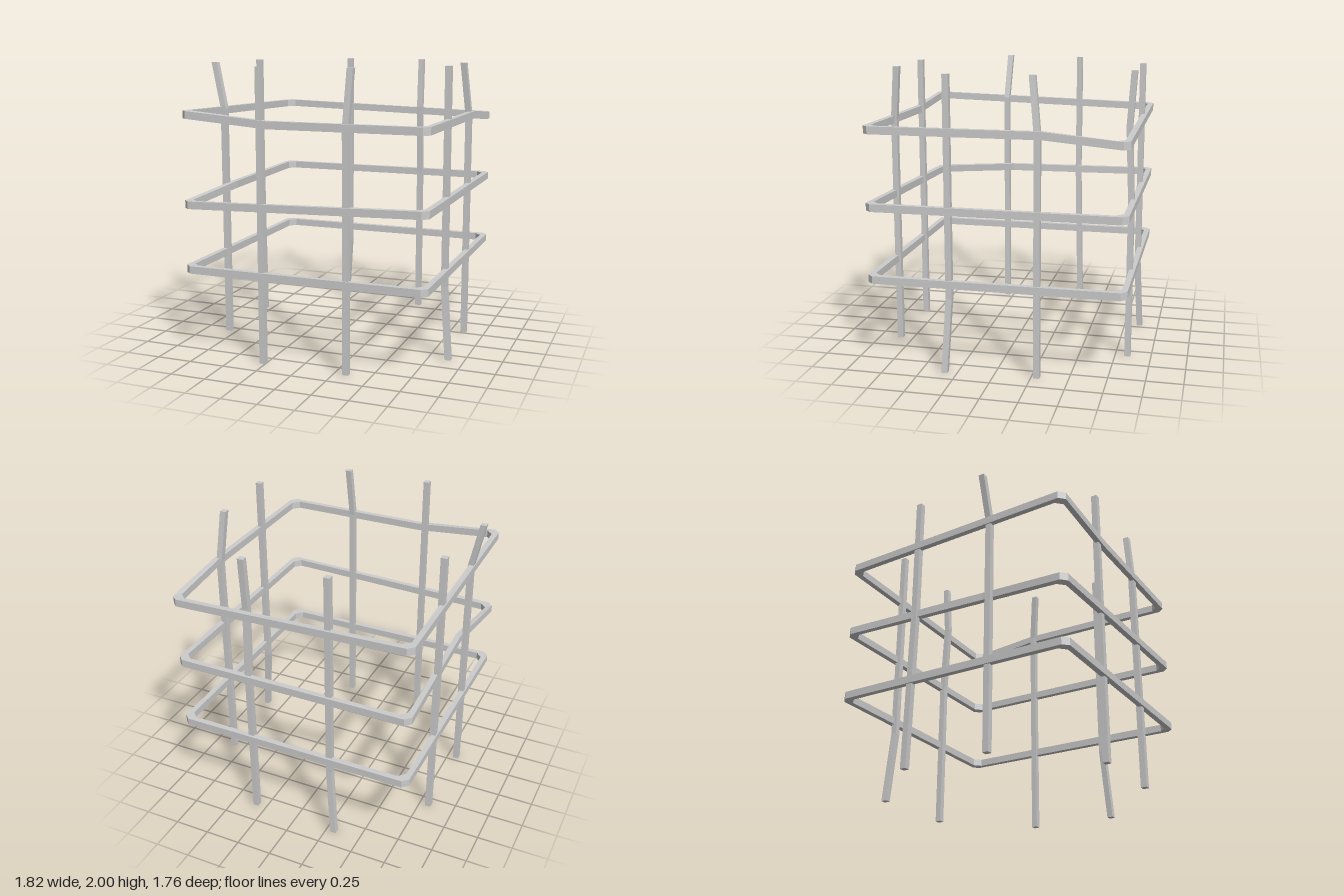
import * as THREE from 'three';

const material = new THREE.MeshStandardMaterial({ color: 0xcccccc, flatShading: true });

// Joins four-cornered sections into a faceted solid, either capped or looped
function loft(sections, closed) {
  const pos = [];
  const quad = (a, b, c, d) => [a, b, c, a, c, d].forEach((p) => pos.push(...p));
  const n = sections.length;
  for (let i = 0; i < (closed ? n : n - 1); i++) {
    const s = sections[i], t = sections[(i + 1) % n];
    for (let k = 0; k < 4; k++) quad(s[k], s[(k + 1) % 4], t[(k + 1) % 4], t[k]);
  }
  if (!closed) {
    quad(...[...sections[0]].reverse());
    quad(...sections[n - 1]);
  }
  const geo = new THREE.BufferGeometry();
  geo.setAttribute('position', new THREE.Float32BufferAttribute(pos, 3));
  geo.computeVertexNormals();
  return geo;
}

function addMesh(group, name, geo) {
  const mesh = new THREE.Mesh(geo, material);
  mesh.name = name;
  group.add(mesh);
}

// Square upright bar through [x, y, z] points, bottom to top
function bar(points) {
  const h = 0.021;
  return loft(points.map(([x, y, z]) =>
    [[1, 1], [1, -1], [-1, -1], [-1, 1]].map(([a, b]) => [x + a * h, y, z + b * h])), false);
}

// Hoop outline, with cut corners
const X0 = -0.845, X1 = 0.88, Z0 = -0.875, Z1 = 0.88;
const WIDTH = 0.04, HALF_HEIGHT = 0.026;

// lifts: height change per corner; bends: optional kink in the side after a corner
function hoop(y, lifts = [0, 0, 0, 0], bends = {}) {
  const section = (inner, outer, h) => [
    [inner[0], h - HALF_HEIGHT, inner[1]], [inner[0], h + HALF_HEIGHT, inner[1]],
    [outer[0], h + HALF_HEIGHT, outer[1]], [outer[0], h - HALF_HEIGHT, outer[1]],
  ];
  // Corner signs, in order of travel, and the direction of the side that follows
  const corners = [[-1, 1], [1, 1], [1, -1], [-1, -1]];
  const dirs = [[1, 0], [0, -1], [-1, 0], [0, 1]];
  const sections = [];
  corners.forEach(([sx, sz], i) => {
    const outer = [sx < 0 ? X0 : X1, sz < 0 ? Z0 : Z1];
    const inner = [outer[0] - sx * WIDTH, outer[1] - sz * WIDTH];
    const before = dirs[(i + 3) % 4], after = dirs[i];
    const along = (p, d, s) => [p[0] + d[0] * s, p[1] + d[1] * s];
    const h = y + lifts[i];
    sections.push(section(along(inner, before, -0.045), along(outer, before, -0.04), h));
    sections.push(section(along(inner, after, 0.045), along(outer, after, 0.04), h));
    if (bends[i]) {
      // at: coordinate along the side, push: shift towards the middle
      const { at, push = 0 } = bends[i];
      const place = (p) => after[0] !== 0 ? [at, p[1] - sz * push] : [p[0] - sx * push, at];
      sections.push(section(place(inner), place(outer), y));
    }
  });
  return loft(sections, true);
}

export function createModel() {
  const model = new THREE.Group();
  model.name = 'barCage';

  // Three horizontal hoops, the upper two warped
  addMesh(model, 'lowerHoop', hoop(0.611));
  addMesh(model, 'middleHoop', hoop(1.108, [-0.046, 0, 0, 0], { 3: { at: 0.24, push: 0.048 } }));
  addMesh(model, 'upperHoop', hoop(1.627, [0.047, 0, -0.046, 0], { 0: { at: -0.22 }, 1: { at: -0.32 } }));

  // Eight upright bars, two on each side, some bent
  const bars = {
    frontRightBar: [[-0.27, 0, 0.845], [-0.27, 2, 0.845]],
    frontLeftBar: [[0.33, 0, 0.845], [0.33, 1.63, 0.845], [0.35, 2, 0.813]],
    backRightBar: [[-0.306, 0, -0.86], [-0.268, 0.51, -0.836], [-0.268, 2, -0.836]],
    backLeftBar: [[0.33, 0, -0.836], [0.33, 1.1, -0.836], [0.33, 1.63, -0.812], [0.33, 2, -0.836]],
    leftFrontBar: [[0.888, 0, 0.335], [0.846, 0.51, 0.308], [0.846, 2, 0.308]],
    leftBackBar: [[0.846, 0, -0.287], [0.846, 1.63, -0.287], [0.811, 2, -0.248]],
    rightFrontBar: [[-0.815, 0, 0.3], [-0.815, 1.67, 0.3], [-0.888, 2, 0.285]],
    rightBackBar: [[-0.815, 0, -0.318], [-0.815, 1.1, -0.29], [-0.815, 2, -0.29]],
  };
  for (const [name, points] of Object.entries(bars)) addMesh(model, name, bar(points));

  return model;
}
